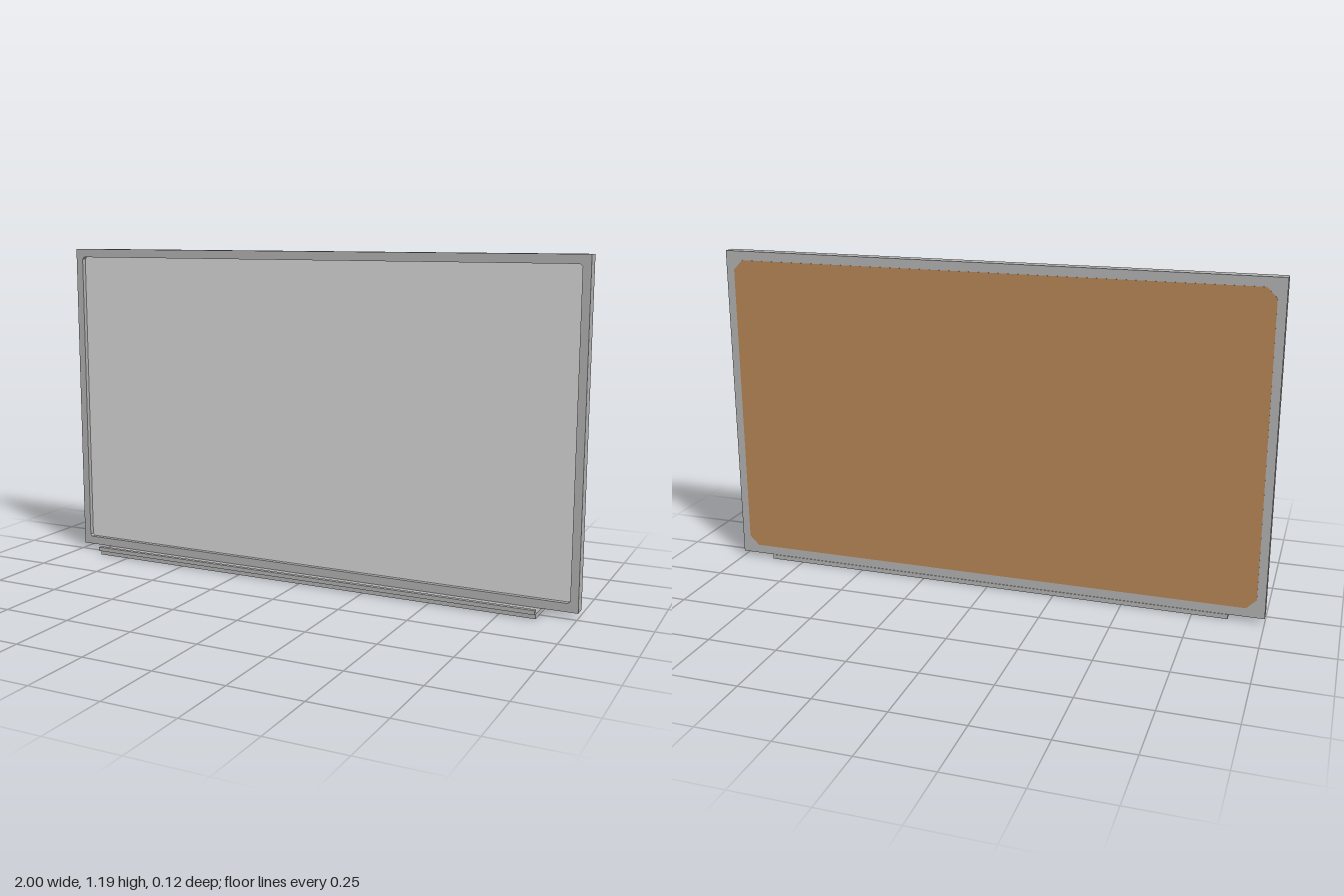
import * as THREE from 'three';

// Rectangle outline with cut corners
function cutRect(PathType, x, y0, y1, c) {
  const p = new PathType();
  p.moveTo(-x + c, y0);
  p.lineTo(x - c, y0);
  p.lineTo(x, y0 + c);
  p.lineTo(x, y1 - c);
  p.lineTo(x - c, y1);
  p.lineTo(-x + c, y1);
  p.lineTo(-x, y1 - c);
  p.lineTo(-x, y0 + c);
  p.closePath();
  return p;
}

function extrude(shape, z0, z1) {
  const g = new THREE.ExtrudeGeometry(shape, { depth: z1 - z0, bevelEnabled: false });
  return g.translate(0, 0, z0);
}

function box(x, y0, y1, z0, z1) {
  const g = new THREE.BoxGeometry(2 * x, y1 - y0, z1 - z0);
  return g.translate(0, (y0 + y1) / 2, (z0 + z1) / 2);
}

export function createModel() {
  const group = new THREE.Group();
  const material = (name, color) => {
    const m = new THREE.MeshStandardMaterial({ color });
    m.name = name;
    return m;
  };
  const metal = material('grey metal', 0xb0b0b0);
  const white = material('pale board', 0xd4d4d4);
  const wood = material('brown backing', 0xb58555);

  const add = (name, geometry, mat) => {
    const mesh = new THREE.Mesh(geometry, mat);
    mesh.name = name;
    group.add(mesh);
  };

  // Border frame with an opening for the writing surface
  const outline = new THREE.Shape([
    new THREE.Vector2(-1, 0.018), new THREE.Vector2(1, 0.018),
    new THREE.Vector2(1, 1.193), new THREE.Vector2(-1, 1.193),
  ]);
  outline.holes.push(cutRect(THREE.Path, 0.972, 0.048, 1.162, 0.008));
  add('frame', extrude(outline, -0.061, -0.015), metal);

  // Recessed writing surface
  add('writingSurface', box(0.975, 0.045, 1.165, -0.055, -0.032), white);

  // Backing panel with cut corners, over a metal back plate
  add('backPlate', box(0.975, 0.045, 1.165, -0.061, -0.055), metal);
  add('backingPanel', extrude(cutRect(THREE.Shape, 0.97, 0.05, 1.16, 0.035), -0.062, -0.057), wood);

  // Pen tray under the frame, with a raised front lip
  add('tray', box(0.875, 0, 0.017, -0.061, 0.049), metal);
  add('trayLip', box(0.875, 0.018, 0.033, 0.048, 0.063), metal);

  return group;
}
